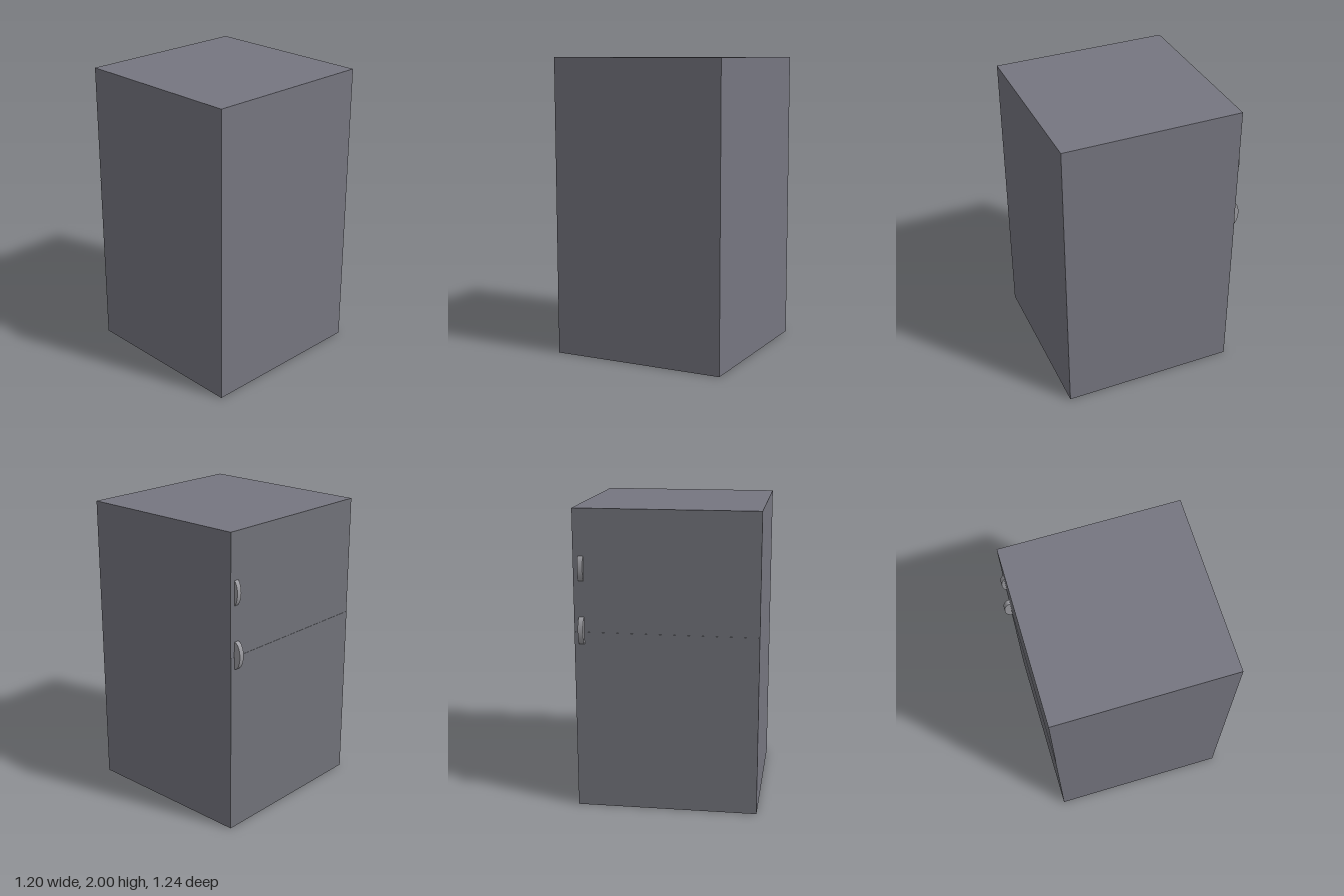
import * as THREE from 'three';

const paint = (color) => new THREE.MeshStandardMaterial({ color });
const cabinetPaint = paint(0x767680);
const doorPaint = paint(0x717279);
const handlePaint = paint(0x9b9ba0);

function box(name, y0, y1, z0, z1, material) {
  const mesh = new THREE.Mesh(new THREE.BoxGeometry(1.2, y1 - y0, z1 - z0), material);
  mesh.name = name;
  mesh.position.set(0, (y0 + y1) / 2, (z0 + z1) / 2);
  return mesh;
}

// Flattened disc lying across x, partly sunk into its door
function handle(name, y, z) {
  const geometry = new THREE.CylinderGeometry(1, 1, 0.034, 32);
  geometry.rotateZ(Math.PI / 2);
  geometry.scale(1, 0.09, 0.045);
  const mesh = new THREE.Mesh(geometry, handlePaint);
  mesh.name = name;
  mesh.position.set(0.55, y, z);
  return mesh;
}

export function createModel() {
  const group = new THREE.Group();
  group.name = 'refrigerator';

  const back = -0.577, doorInner = -0.57, seam = 1.2;

  // Cabinet
  group.add(box('cabinet', 0, 2, doorInner, 0.622, cabinetPaint));

  // Thin doors; the lower one stands slightly proud so the seam shows
  group.add(box('lowerDoor', 0, seam, back, doorInner, doorPaint));
  group.add(box('upperDoor', seam, 2, back + 0.002, doorInner, doorPaint));

  // Handles; the upper one sits deeper
  group.add(handle('lowerHandle', 1.21, back));
  group.add(handle('upperHandle', 1.615, back + 0.022));

  return group;
}
